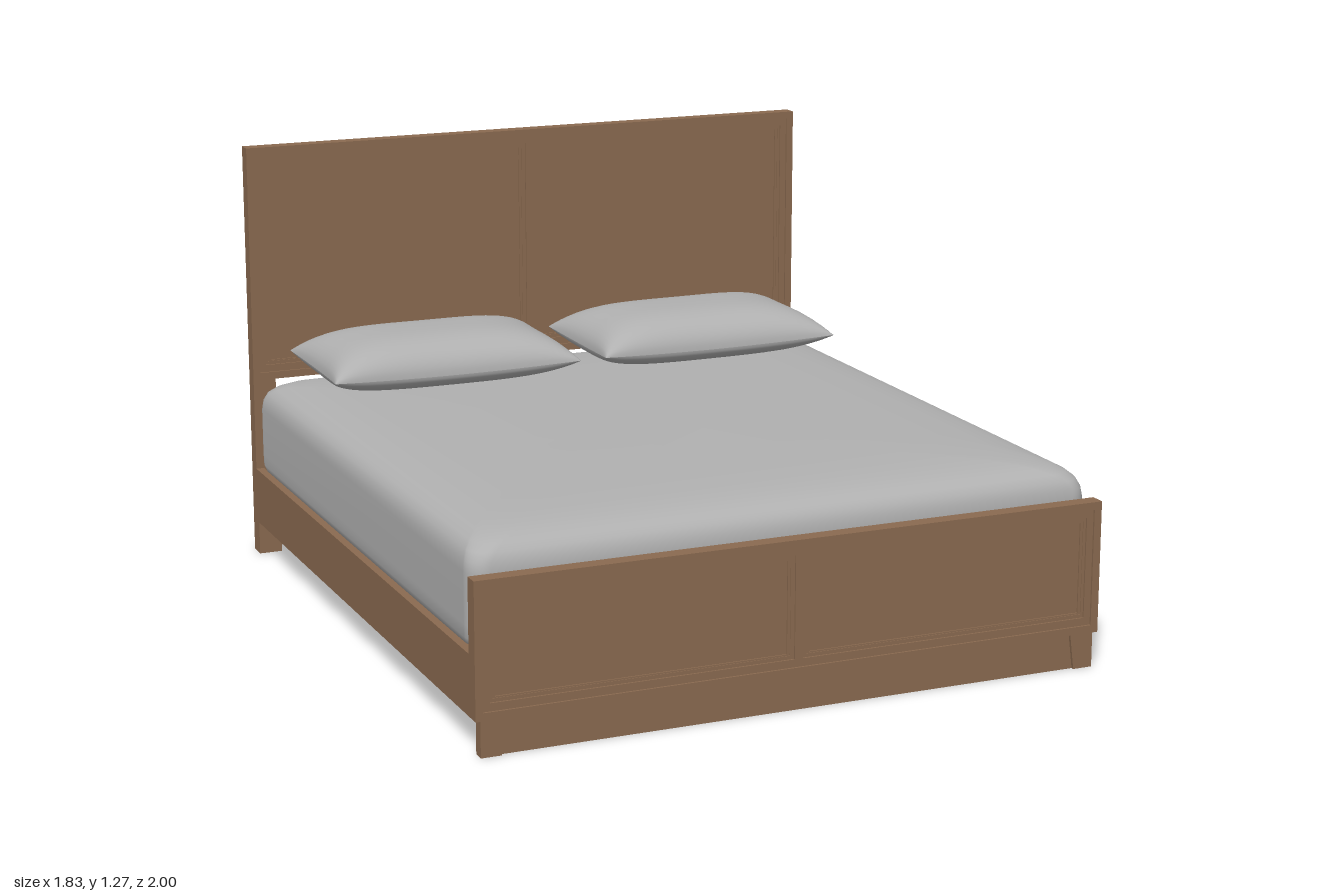
import * as THREE from 'three';
import { mergeGeometries } from 'three/addons/utils/BufferGeometryUtils.js';

const wood = new THREE.MeshStandardMaterial({ color: 0x8a6a50 });
wood.name = 'wood';
const linen = new THREE.MeshStandardMaterial({ color: 0xb0b0b0 });
linen.name = 'linen';

const HALF = 0.914;

function add(parent, name, geometry, material) {
  const mesh = new THREE.Mesh(geometry, material);
  mesh.name = name;
  parent.add(mesh);
  return mesh;
}

// Box given by its limits on each axis
function box(parent, name, x0, x1, y0, y1, z0, z1) {
  const g = new THREE.BoxGeometry(x1 - x0, y1 - y0, z1 - z0);
  g.translate((x0 + x1) / 2, (y0 + y1) / 2, (z0 + z1) / 2);
  return add(parent, name, g, wood);
}

function rectPath(P, x0, x1, y0, y1) {
  const p = new P();
  p.moveTo(x0, y0);
  p.lineTo(x1, y0);
  p.lineTo(x1, y1);
  p.lineTo(x0, y1);
  p.closePath();
  return p;
}

// Rectangular frame with one opening, or two when a centre stile is wanted
function frame(parent, name, y0, y1, border, stile, z0, z1, outer = HALF) {
  const shape = rectPath(THREE.Shape, -outer, outer, y0, y1);
  const x = HALF - border;
  const spans = stile ? [[-x, -stile], [stile, x]] : [[-x, x]];
  for (const [a, b] of spans) shape.holes.push(rectPath(THREE.Path, a, b, y0 + border, y1 - border));
  const g = new THREE.ExtrudeGeometry(shape, { depth: z1 - z0, bevelEnabled: false });
  g.translate(0, 0, z0);
  return add(parent, name, g, wood);
}

// Panelled board: stepped moulding in front, recessed panel, plain frame behind
function board(name, y0, y1, zBack, zFront) {
  const group = new THREE.Group();
  group.name = name;
  const mid = zBack + 0.016;
  box(group, 'panel', -HALF + 0.01, HALF - 0.01, y0 + 0.01, y1 - 0.01, mid, mid + 0.012);
  frame(group, 'backFrame', y0, y1, 0.07, 0.035, zBack, mid);
  frame(group, 'outerRim', y0, y1, 0.022, 0, mid, zFront);
  frame(group, 'middleMoulding', y0 + 0.002, y1 - 0.002, 0.042, 0.012, mid, zFront - 0.006, HALF - 0.002);
  frame(group, 'innerMoulding', y0 + 0.004, y1 - 0.004, 0.05, 0.024, mid, zFront - 0.011, HALF - 0.004);
  // Raised bead around each opening
  for (const s of [-1, 1]) {
    const a = s < 0 ? -HALF + 0.05 : 0.024, b = s < 0 ? -0.024 : HALF - 0.05;
    const shape = rectPath(THREE.Shape, a, b, y0 + 0.05, y1 - 0.05);
    shape.holes.push(rectPath(THREE.Path, a + 0.008, b - 0.008, y0 + 0.058, y1 - 0.058));
    const g = new THREE.ExtrudeGeometry(shape, { depth: 0.004, bevelEnabled: false });
    g.translate(0, 0, mid + 0.012);
    add(group, 'panelBead', g, wood);
  }
  return group;
}

// Mattress: rounded-rectangle loops following a soft side profile
function mattressGeometry() {
  const hx = 0.905, hz = 0.95, perCorner = 10;
  const profile = [[0.9, 0.27], [0.025, 0.27], [0.008, 0.276], [0.001, 0.295], [0, 0.33], [0, 0.47],
    [0.004, 0.5], [0.014, 0.523], [0.032, 0.54], [0.06, 0.554], [0.1, 0.565], [0.17, 0.575],
    [0.3, 0.581], [0.5, 0.584], [0.9, 0.585]];
  const pos = [], index = [], n = 4 * perCorner;
  for (const [inset, y] of profile) {
    const ax = hx - inset, az = hz - inset;
    const r = Math.min(0.055 + inset * 0.4, ax);
    for (let c = 0; c < 4; c++) {
      const sx = c === 0 || c === 3 ? 1 : -1, sz = c < 2 ? 1 : -1;
      for (let i = 0; i < perCorner; i++) {
        const t = (c + i / (perCorner - 1)) * Math.PI / 2;
        pos.push(sx * (ax - r) + r * Math.cos(t), y, sz * (az - r) + r * Math.sin(t));
      }
    }
  }
  for (let j = 0; j < profile.length - 1; j++) {
    for (let i = 0; i < n; i++) {
      const a = j * n + i, b = j * n + (i + 1) % n;
      index.push(a, a + n, b, b, a + n, b + n);
    }
  }
  // Close the narrow slits left at the middle of the bottom and top
  const last = (profile.length - 1) * n;
  for (let i = 1; i < n - 1; i++) {
    index.push(0, i, i + 1);
    index.push(last, last + i + 1, last + i);
  }
  const g = new THREE.BufferGeometry();
  g.setAttribute('position', new THREE.Float32BufferAttribute(pos, 3));
  g.setIndex(index);
  g.computeVertexNormals();
  return g;
}

// Pillow: two puffed sheets meeting at a seam, with pulled-out corners
function pillowGeometry() {
  const sheet = (height) => {
    const g = new THREE.PlaneGeometry(2, 2, 32, 28);
    g.rotateX(height > 0 ? -Math.PI / 2 : Math.PI / 2);
    const p = g.attributes.position;
    for (let i = 0; i < p.count; i++) {
      const u = Math.sin(p.getX(i) * Math.PI / 2), v = Math.sin(p.getZ(i) * Math.PI / 2);
      const puff = Math.sqrt(Math.max(0, (1 - u ** 4) * (1 - Math.abs(v) ** 3)));
      const x = u * (0.368 + 0.018 * v * v);
      const z = v * (0.215 + 0.02 * u * u);
      p.setXYZ(i, x, height * puff + 0.012 * u * u * v * v, z);
    }
    g.computeVertexNormals();
    return g;
  };
  return mergeGeometries([sheet(0.107), sheet(-0.055)]);
}

export function createModel() {
  const bed = new THREE.Group();
  bed.name = 'bed';

  // Headboard, with posts down to the floor
  bed.add(board('headboard', 0.55, 1.27, -1, -0.955));
  for (const s of [-1, 1]) {
    const a = s < 0 ? -HALF : HALF - 0.07;
    box(bed, 'headPost', a, a + 0.07, 0.1, 0.56, -1, -0.955);
    box(bed, 'backLeg', a, a + 0.07, 0, 0.1, -1, -0.943);
  }

  // Footboard, with plinth and tapered legs
  bed.add(board('footboard', 0.1, 0.475, 0.955, 1));
  box(bed, 'plinth', -0.9, 0.9, 0, 0.1, 0.966, 0.988);
  for (const s of [-1, 1]) {
    const leg = new THREE.Shape();
    const pts = [[0.9, 0], [0.9, 0.1], [0.83, 0.1], [0.843, 0]].map(([x, y]) => new THREE.Vector2(s * x, y));
    leg.setFromPoints(pts);
    const g = new THREE.ExtrudeGeometry(leg, { depth: 0.034, bevelEnabled: false });
    g.translate(0, 0, 0.963);
    add(bed, 'frontLeg', g, wood);
  }

  // Side rails, back rail and centre support
  box(bed, 'sideRail', -HALF, -0.89, 0.1, 0.27, -0.955, 0.955);
  box(bed, 'sideRail', 0.89, HALF, 0.1, 0.27, -0.955, 0.955);
  box(bed, 'backRail', -0.85, 0.85, 0.1, 0.27, -0.99, -0.955);
  box(bed, 'centreLeg', -0.025, 0.025, 0, 0.11, -0.985, -0.95);

  // Slats
  const count = 13;
  for (let i = 0; i < count; i++) {
    const z = -0.87 + i * 1.74 / (count - 1);
    box(bed, 'slat', -0.892, 0.892, 0.24, 0.269, z - 0.035, z + 0.035);
  }

  // Bedding
  add(bed, 'mattress', mattressGeometry(), linen);
  const pillow = pillowGeometry();
  for (const s of [-1, 1]) {
    const mesh = add(bed, 'pillow', pillow, linen);
    mesh.position.set(s * 0.425, 0.634, -0.67);
    mesh.rotation.y = s < 0 ? -0.01 : 0.005;
  }
  return bed;
}
